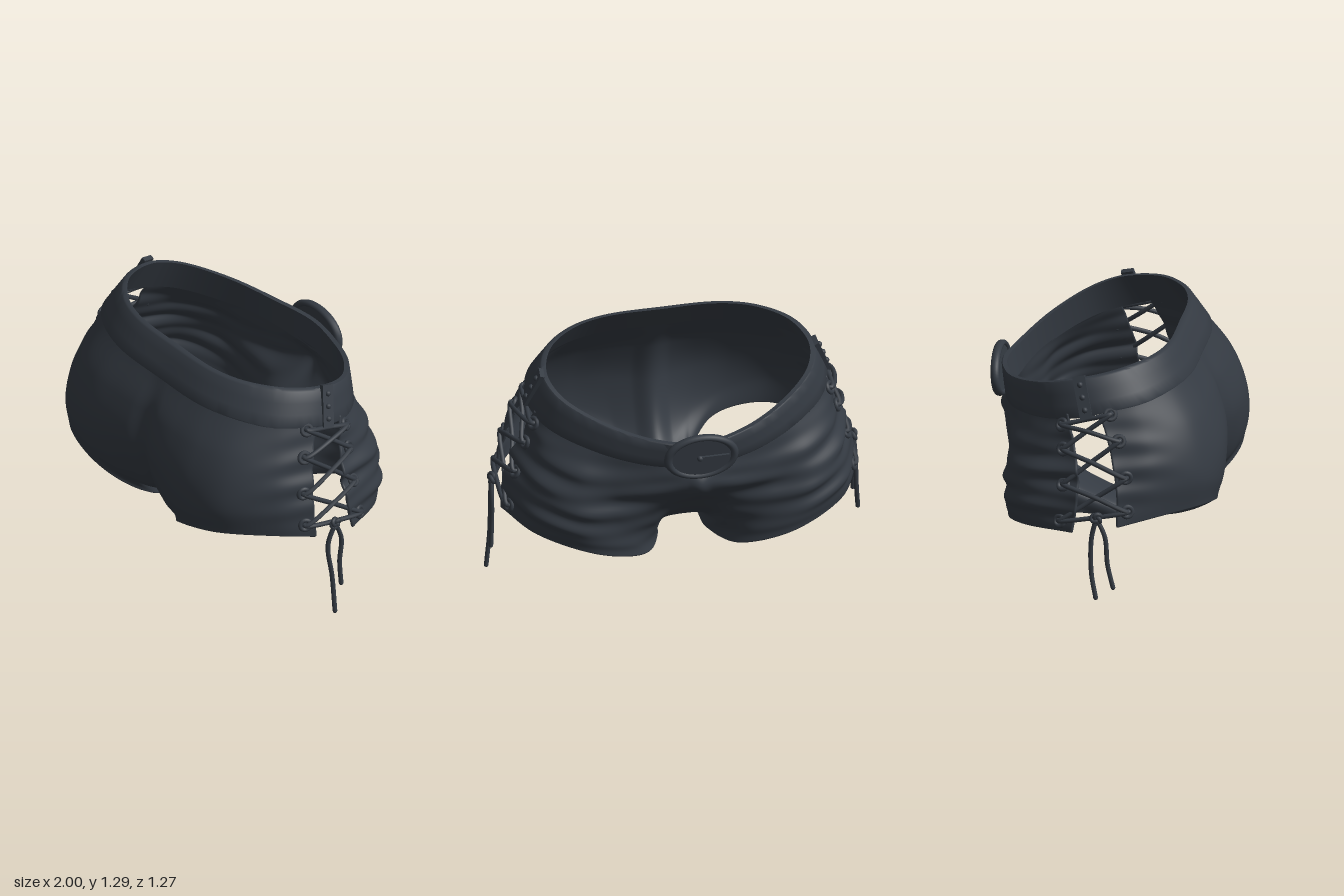
import * as THREE from 'three';
import { toCreasedNormals } from 'three/addons/utils/BufferGeometryUtils.js';

const V = (x, y, z) => new THREE.Vector3(x, y, z);
const spline = (pts, closed = false) => new THREE.CatmullRomCurve3(pts, closed, 'centripetal');

// Control columns from the centre line (first) out to the laced side edge (last),
// each running from the belt down to the hem.
const REAR = [
  [[0, 1.13, .45], [0, .95, .54], [0, .72, .565], [0, .42, .44], [0, .25, .1]],
  [[.08, 1.13, .45], [.1, .95, .56], [.1, .72, .605], [.09, .4, .48], [.1, .235, .08]],
  [[.2, 1.13, .45], [.24, .95, .565], [.25, .74, .63], [.21, .49, .585], [.135, .285, .39]],
  [[.38, 1.13, .43], [.42, .95, .55], [.43, .76, .62], [.4, .59, .63], [.31, .44, .59]],
  [[.55, 1.12, .37], [.6, .95, .48], [.63, .8, .535], [.63, .66, .565], [.59, .515, .565]],
  [[.7, 1.11, .23], [.75, .96, .295], [.795, .82, .34], [.82, .67, .355], [.825, .52, .345]],
  [[.78, 1.09, .05], [.825, .95, .11], [.87, .8, .15], [.905, .66, .175], [.93, .5, .18]],
];
const FRONT = [
  [[0, .89, -.53], [0, .765, -.6], [0, .6, -.46], [0, .38, -.22], [0, .25, .1]],
  [[.08, .89, -.535], [.07, .765, -.575], [.09, .58, -.44], [.11, .37, -.22], [.1, .235, .08]],
  [[.2, .9, -.52], [.22, .75, -.53], [.22, .57, -.455], [.19, .4, -.36], [.13, .24, -.16]],
  [[.4, .93, -.46], [.42, .76, -.48], [.42, .6, -.475], [.36, .43, -.455], [.25, .275, -.39]],
  [[.58, .96, -.36], [.61, .8, -.43], [.63, .64, -.465], [.6, .49, -.475], [.52, .355, -.47]],
  [[.72, 1, -.22], [.765, .85, -.28], [.8, .7, -.325], [.82, .56, -.345], [.81, .43, -.33]],
  [[.78, 1.04, -.12], [.835, .9, -.08], [.89, .75, -.05], [.93, .6, -.05], [.945, .46, -.07]],
];

// Cloth surface: u runs -6..6 from side to side, t runs 0..4 from belt to hem
function makeSurface(cols, fold) {
  const all = [];
  for (let i = -6; i <= 6; i++) {
    all.push(spline(cols[Math.abs(i)].map(([x, y, z]) => V(i < 0 ? -x : x, y, z))));
  }
  const row = (t) => {
    const across = spline(all.map((c) => c.getPoint(t / 4)));
    return (u) => {
      const p = across.getPoint((u + 6) / 12);
      const out = V(p.x, 0, p.z).normalize();
      return p.addScaledVector(out, fold(Math.abs(u), t));
    };
  };
  return { row, at: (u, t) => row(t)(u) };
}

// Smooth grid from rows of points
function gridGeometry(rows) {
  const n = rows[0].length, idx = [];
  for (let j = 0; j < rows.length - 1; j++) for (let i = 0; i < n - 1; i++) {
    const a = j * n + i, b = a + n;
    idx.push(a, b, a + 1, b, b + 1, a + 1);
  }
  const g = new THREE.BufferGeometry().setFromPoints(rows.flat());
  g.setIndex(idx);
  g.computeVertexNormals();
  return g;
}

export function createModel() {
  const model = new THREE.Group();
  const leather = new THREE.MeshStandardMaterial({ color: 0x343a42, side: THREE.DoubleSide });
  leather.name = 'dark slate leather';
  const add = (name, geo, parent = model) => {
    const m = new THREE.Mesh(geo, leather);
    m.name = name;
    parent.add(m);
    return m;
  };
  const tube = (name, pts, r, seg = 24, parent = model) => {
    add(name, new THREE.TubeGeometry(spline(pts), seg, r, 8), parent);
    for (const p of [pts[0], pts[pts.length - 1]]) {
      add(name + 'End', new THREE.SphereGeometry(r, 8, 6), parent).position.copy(p);
    }
  };
  const range = (n, f) => Array.from({ length: n + 1 }, (_, i) => f(i / n));

  // Cloth panels: faint puckers by the lacing, deeper drag folds on the buckle side
  const rear = makeSurface(REAR, (u, t) =>
    .007 * Math.sin(t * 7 + u) * THREE.MathUtils.smoothstep(u, 4.2, 5.8) * Math.sin(Math.PI * t / 4));
  const front = makeSurface(FRONT, (u, t) =>
    (.009 * Math.sin(t * 5.2 + u * .9) + .007 * Math.sin(t * 9 - u * 1.5))
    * THREE.MathUtils.smoothstep(u, .3, 2.5) * Math.sin(Math.PI * t / 4));
  const thickness = .018, across = 144, down = 56;
  for (const [name, s, inward] of [['rearPanel', rear, -1], ['frontPanel', front, 1]]) {
    const rows = range(down, (v) => {
      const r = s.row(v * 4);
      return range(across, (w) => r(w * 12 - 6));
    });
    const outer = gridGeometry(rows);
    add(name, outer);
    // Lining, and rolled edges that join it to the outside
    const normals = outer.attributes.normal;
    const sunk = (j, i, d) => rows[j][i].clone().addScaledVector(
      V(0, 0, 0).fromBufferAttribute(normals, j * (across + 1) + i), inward * d);
    add(name + 'Lining', gridGeometry(rows.map((r, j) => r.map((_, i) => sunk(j, i, thickness)))));
    const edge = (label, n, f) => tube(name + label, range(n, (w) => f(Math.round(w * n))), thickness / 2, 110);
    edge('RightHem', 60, (k) => sunk(down, k, thickness / 2));
    edge('LeftHem', 60, (k) => sunk(down, across - k, thickness / 2));
    edge('RightEdge', down, (k) => sunk(k, 0, thickness / 2));
    edge('LeftEdge', down, (k) => sunk(k, across, thickness / 2));
  }

  // Belt: sloping band swept around the waist
  const low = [[0, 1.125, .45], [.3, 1.125, .445], [.5, 1.12, .39], [.68, 1.1, .27], [.77, 1.075, .1],
    [.78, 1.035, -.05], [.715, .995, -.22], [.5, .935, -.405], [.25, .885, -.51], [0, .87, -.55]];
  const high = [[0, 1.285, .35], [.3, 1.285, .34], [.48, 1.28, .28], [.63, 1.265, .155], [.695, 1.24, .02],
    [.705, 1.215, -.1], [.65, 1.17, -.24], [.47, 1.1, -.405], [.24, 1.04, -.52], [0, 1.02, -.575]];
  const ring = (half) => spline([...half.map((p) => V(...p)),
    ...half.slice(1, -1).reverse().map(([x, y, z]) => V(-x, y, z))], true);
  const lowRing = ring(low), highRing = ring(high);
  // Each section entry: height along the band, outward offset
  const section = [[0, -.012], [0, .012], [.04, .017], [.35, .018], [.65, .018], [.96, .017], [1, .012], [1, -.012], [0, -.012]];
  const beltRows = section.map(([h, d]) => range(120, (w) => {
    const p = lowRing.getPoint(w).lerp(highRing.getPoint(w), h);
    return p.addScaledVector(V(p.x, 0, p.z + .05).normalize(), d);
  }));
  add('belt', toCreasedNormals(gridGeometry(beltRows), .7));

  // Oval buckle: backing plate, raised rim and prong
  const buckle = new THREE.Group();
  buckle.name = 'buckle';
  buckle.position.set(0, .955, -.6);
  buckle.rotation.x = -.1;
  model.add(buckle);
  const plate = add('bucklePlate', new THREE.CylinderGeometry(.175, .175, .026, 48), buckle);
  plate.rotation.x = Math.PI / 2;
  plate.scale.z = .7;
  add('buckleRim', new THREE.TorusGeometry(.175, .023, 10, 56), buckle).scale.y = .69;
  add('buckleProng', new THREE.BoxGeometry(.15, .022, .02), buckle).position.set(-.07, 0, -.015);
  add('bucklePivot', new THREE.SphereGeometry(.016, 12, 8), buckle).position.set(.01, 0, -.017);

  for (const s of [1, -1]) {
    const side = new THREE.Group();
    side.name = s > 0 ? 'leftLacing' : 'rightLacing';
    model.add(side);

    // Riveted strap over the belt
    const strap = new THREE.Group();
    strap.name = 'beltStrap';
    const up = V(-.075 * s, .2, -.055).normalize();
    const fwd = V(0, 0, 1).addScaledVector(up, -up.z).normalize();
    const out = new THREE.Vector3().crossVectors(up, fwd);
    strap.quaternion.setFromRotationMatrix(new THREE.Matrix4().makeBasis(out, up, fwd));
    strap.position.set(.764 * s, 1.14, -.037);
    side.add(strap);
    add('strapBand', new THREE.BoxGeometry(.026, .225, .066), strap);
    for (const y of [-.067, 0, .067]) {
      add('rivet', new THREE.SphereGeometry(.016, 12, 8), strap).position.set(.011 * s, y, 0);
    }

    // Eyelets down both edges of the gap
    const eyelets = (surface, ts) => ts.map((t) => {
      const u = 5.76 * s, p = surface.at(u, t);
      const du = surface.at(u + .05, t).sub(p), dt = surface.at(u, t + .05).sub(p);
      const n = du.cross(dt).normalize();
      if (n.x * s < 0) n.negate();
      const e = add('eyelet', new THREE.TorusGeometry(.027, .012, 8, 20), side);
      e.position.copy(p).addScaledVector(n, .005);
      e.quaternion.setFromUnitVectors(V(0, 0, 1), n);
      return p.addScaledVector(n, .018);
    });
    const a = eyelets(rear, [.25, 1.15, 2.4, 3.58]);
    const b = eyelets(front, [.3, 1.12, 2.33, 3.65]);

    // Criss-cross laces; the rising set arches over the falling set
    const lace = (p, q, bow, arch) => {
      const mid = p.clone().lerp(q, .5).add(V(bow * s, arch, 0));
      const dip = p.clone().add(V(-.03 * s, 0, 0));
      const dipQ = q.clone().add(V(-.03 * s, 0, 0));
      tube('lace', [dip, p, mid, q, dipQ], .0125, 30, side);
    };
    lace(a[0], b[0], .004, 0);
    for (let i = 0; i < 3; i++) {
      lace(a[i], b[i + 1], 0, 0);
      lace(b[i], a[i + 1], .028, .015);
    }
    lace(a[3], b[3], .018, 0);

    // Knot and hanging tails
    const knot = V(.962 * s, .55, .07);
    const k = add('knot', new THREE.TorusKnotGeometry(.018, .011, 40, 8), side);
    k.position.copy(knot);
    k.rotation.y = Math.PI / 2;
    const tails = s > 0
      ? [[[.957, .43, .115], [.966, .22, .095], [.985, .012, .092]], [[.968, .44, .035], [.966, .3, .045], [.972, .16, .04]]]
      : [[[.965, .45, .115], [.972, .3, .13], [.978, .175, .16]], [[.966, .44, .045], [.972, .25, .045], [.985, .115, .07]]];
    for (const t of tails) {
      tube('laceTail', [knot, ...t.map(([x, y, z]) => V(x * s, y, z))], .0125, 30, side);
    }
  }
  return model;
}
